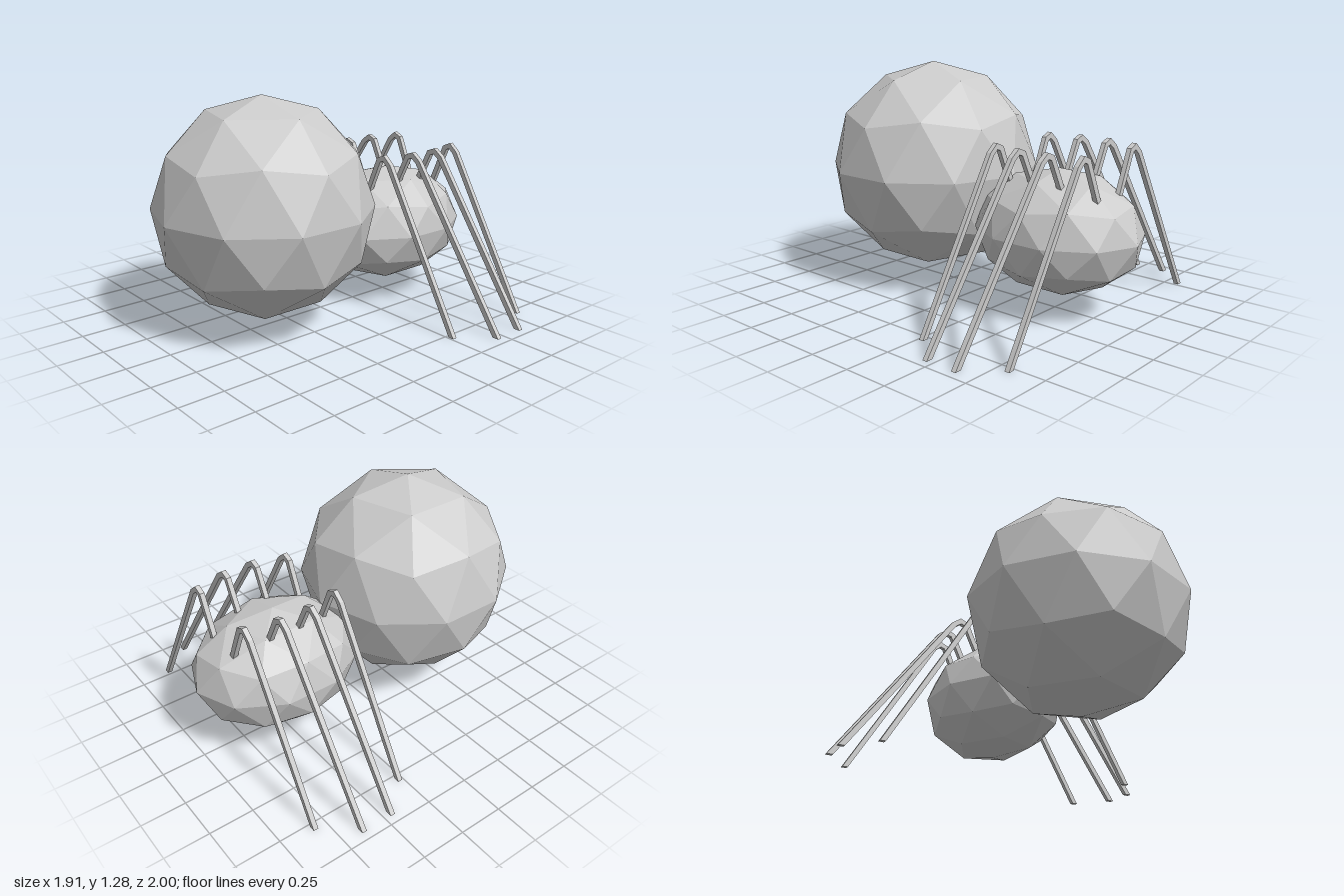
import * as THREE from 'three';

const material = new THREE.MeshStandardMaterial({ color: 0xcccccc, flatShading: true });

// Faceted ellipsoid: once-subdivided icosahedron with a corner at the top
function body(name, radii, position) {
  const geometry = new THREE.IcosahedronGeometry(1, 1);
  geometry.rotateZ(-Math.atan(2 / (1 + Math.sqrt(5))));
  geometry.scale(...radii);
  geometry.computeVertexNormals();
  const mesh = new THREE.Mesh(geometry, material);
  mesh.name = name;
  mesh.position.set(...position);
  return mesh;
}

// Bent leg: flat outline in x/y, extruded along z
function leg(name, outline, side, z) {
  const depth = 0.027;
  const shape = new THREE.Shape(outline.map(([x, y]) => new THREE.Vector2(side * x, y)));
  const geometry = new THREE.ExtrudeGeometry(shape, { depth, bevelEnabled: false });
  geometry.translate(0, 0, z - depth / 2);
  const mesh = new THREE.Mesh(geometry, material);
  mesh.name = name;
  return mesh;
}

export function createModel() {
  const group = new THREE.Group();
  group.name = 'spider';

  group.add(body('abdomen', [0.603, 0.603, 0.603], [0, 0.682, 0.397]));
  group.add(body('head', [0.387, 0.336, 0.485], [0, 0.44, -0.515]));

  // Leg outlines: foot, knee, buried hip, then back along the underside
  const wide = [
    [0.955, 0], [0.335, 0.87], [0.28, 0.91], [0.228, 0.89], [0.085, 0.6],
    [0.117, 0.6], [0.252, 0.868], [0.276, 0.876], [0.308, 0.853], [0.918, 0],
  ];
  const narrow = [
    [0.798, 0], [0.288, 0.865], [0.235, 0.91], [0.184, 0.888], [0.05, 0.58],
    [0.082, 0.58], [0.21, 0.868], [0.232, 0.876], [0.262, 0.85], [0.766, 0],
  ];
  const rows = [
    ['front', narrow, -0.272], ['midFront', wide, -0.453],
    ['midBack', wide, -0.634], ['back', narrow, -0.817],
  ];
  for (const [row, outline, z] of rows) {
    group.add(leg(row + 'LegLeft', outline, 1, z));
    group.add(leg(row + 'LegRight', outline, -1, z));
  }
  return group;
}
